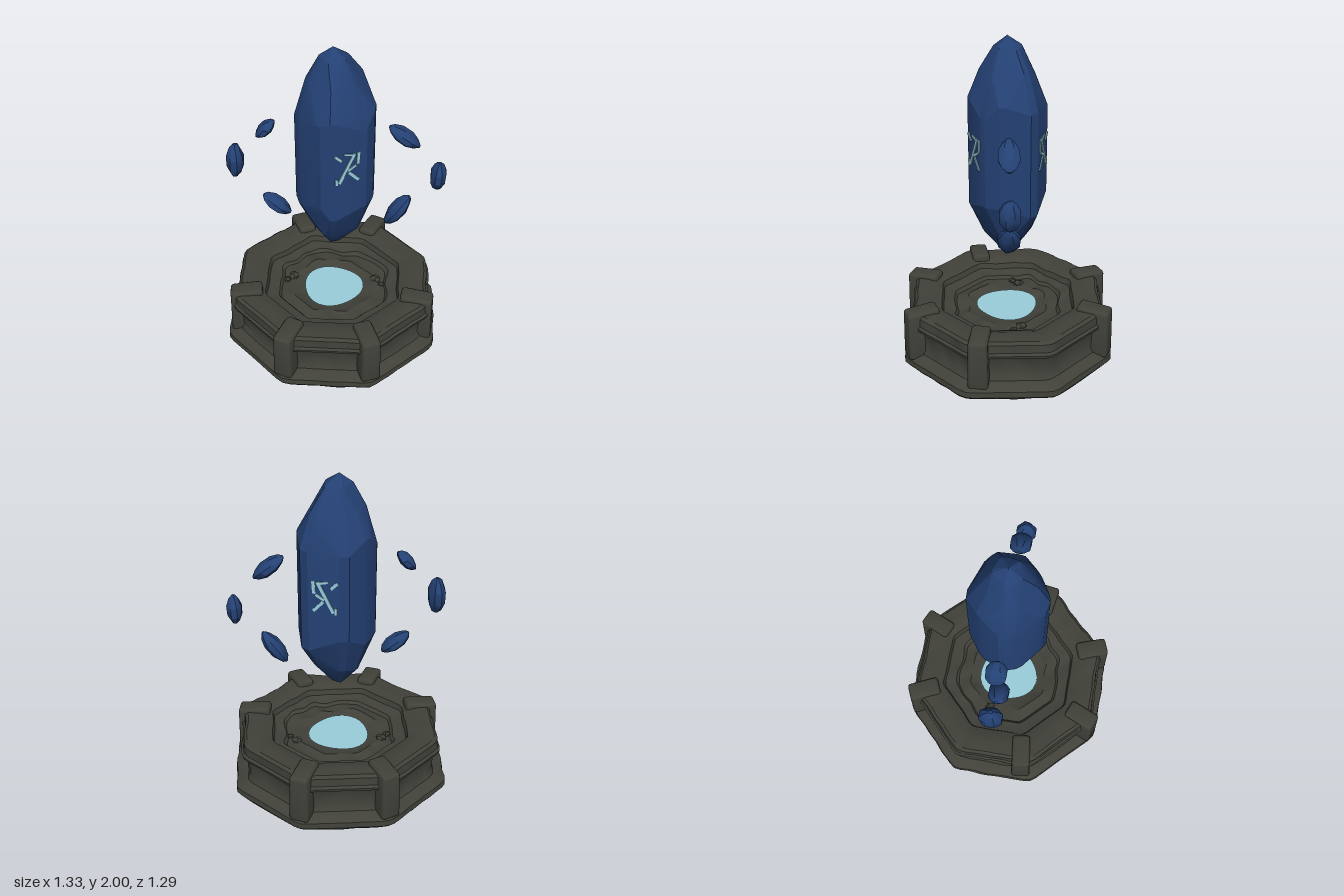
import * as THREE from 'three';
import { toCreasedNormals } from 'three/addons/utils/BufferGeometryUtils.js';
import { RoundedBoxGeometry } from 'three/addons/geometries/RoundedBoxGeometry.js';
import { ConvexGeometry } from 'three/addons/geometries/ConvexGeometry.js';

const stone = new THREE.MeshStandardMaterial({ color: 0x41413a });
stone.name = 'dark stone';
const blue = new THREE.MeshStandardMaterial({ color: 0x244174 });
blue.name = 'blue crystal';
const glow = new THREE.MeshStandardMaterial({ color: 0x99cedb });
glow.name = 'pale glow';

function add(parent, name, geometry, material) {
  const mesh = new THREE.Mesh(geometry, material);
  mesh.name = name;
  parent.add(mesh);
  return mesh;
}

// Smooth, repeatable weathering value from a position
const wear = (x, y, z) =>
  (Math.sin(x * 17 + y * 9 + 1) + Math.sin(z * 19 - y * 13 + 2) + Math.sin((x - z) * 31 + y * 21)) / 3;

// Moves every vertex by a rule, then sharpens the strong edges
function reshape(geometry, rule, crease = 0.5) {
  const p = geometry.attributes.position;
  const v = new THREE.Vector3();
  for (let i = 0; i < p.count; i++) {
    rule(v.fromBufferAttribute(p, i));
    p.setXYZ(i, v.x, v.y, v.z);
  }
  return toCreasedNormals(geometry, crease);
}

// Eight-sided basin: plinth, recessed wall, rim and stepped floor in one profile
function basinGeometry() {
  const profile = [
    [0, 0], [0.625, 0], [0.64, 0.02], [0.637, 0.055], [0.612, 0.075], [0.57, 0.088],
    [0.556, 0.12], [0.555, 0.17], [0.557, 0.22], [0.567, 0.245], [0.592, 0.255], [0.595, 0.272],
    [0.582, 0.285], [0.578, 0.335], [0.56, 0.35], [0.5, 0.352], [0.455, 0.348], [0.41, 0.33],
    [0.4, 0.295], [0.37, 0.287], [0.335, 0.285], [0.32, 0.265], [0.27, 0.262], [0.24, 0.268],
    [0.19, 0.25], [0, 0.25],
  ].map(([r, y]) => new THREE.Vector2(r, y));
  return reshape(new THREE.LatheGeometry(profile, 96), (v) => {
    const side = Math.PI / 4;
    const angle = Math.atan2(v.x, v.z) + Math.PI * 2 + side / 2;
    const radius = Math.hypot(v.x, v.z);
    const octagon = Math.min(1.07, 1 / Math.cos((angle % side) - side / 2));
    const inner = radius < 0.38 && v.y > 0.2;
    const n = wear(v.x, v.y, v.z);
    const k = octagon * (1 + n * (inner ? 0.05 : 0.012));
    v.x *= k * 1.03;
    v.z *= k;
    if (v.y > 0.01 && radius > 0.22) v.y += n * (inner ? 0.012 : 0.005);
  });
}

// Pillar that narrows a little towards its top
function pillarGeometry() {
  return reshape(new RoundedBoxGeometry(0.12, 0.325, 0.205, 2, 0.022), (v) => {
    const t = v.y / 0.325 + 0.5;
    v.x *= 1.03 - 0.08 * t;
    v.z *= 1.02 - 0.04 * t;
    if (v.y > 0.1 && v.z > 0.06) v.y -= 0.012;
  }, 0.4);
}

// Plan outline of the tall crystal, as x and z
const outline = [
  [-0.226, 0], [-0.16, -0.138], [-0.025, -0.246], [0.227, -0.157], [0.247, 0.036],
  [0.193, 0.146], [0.01, 0.233], [-0.07, 0.213], [-0.192, 0.09],
];

// The same outline with each corner cut, for softer edges
const softOutline = outline.flatMap(([x, z], i) => [8, 1].map((step) => {
  const [nx, nz] = outline[(i + step) % 9];
  return [x + (nx - x) * 0.15, z + (nz - z) * 0.15];
}));

function crystalGeometry() {
  const points = [new THREE.Vector3(0, 2, 0), new THREE.Vector3(0.01, 0.652, 0)];
  const rings = [[0.2, 0.67, 0.004], [0.64, 0.8, 0.025], [1, 1.01, 0.045],
    [1, 1.61, 0.045], [0.7, 1.79, 0.025], [0.36, 1.935, 0.01]];
  rings.forEach(([scale, y, uneven], j) => softOutline.forEach(([x, z], i) => {
    const lift = uneven * Math.sin(Math.floor(i / 2) * 2.4 + j * 1.7);
    points.push(new THREE.Vector3(x * scale, y + lift, z * scale));
  }));
  return toCreasedNormals(new ConvexGeometry(points), 0.3);
}

// Small pointed stone: half length, half width and half depth
function shardGeometry(length, width, depth, seed) {
  const points = [];
  for (const [y, scale] of [[-1, 0.18], [-0.8, 0.58], [-0.35, 0.97], [0.3, 1], [0.75, 0.64], [1, 0.18]]) {
    for (let i = 0; i < 8; i++) {
      const a = ((i + 0.5) * Math.PI) / 4;
      const lift = Math.abs(y) < 0.9 ? 0.07 * Math.sin(i * 2.3 + seed) : 0;
      points.push(new THREE.Vector3(Math.cos(a) * width * scale * 1.06,
        length * (y + lift), Math.sin(a) * depth * 1.06 * scale));
    }
  }
  return toCreasedNormals(new ConvexGeometry(points), 0.45);
}

// Abstract mark of broken strokes: start and end of each, then width
function engraving(mirror) {
  const mark = new THREE.Group();
  mark.name = 'glowingMark';
  const strokes = [
    [0.035, 0.095, -0.06, -0.09, 0.02], [-0.085, 0.1, -0.045, 0.06, 0.018],
    [-0.03, 0.1, 0.03, 0.085, 0.014], [0.06, 0.1, 0.055, 0.02, 0.02],
    [0.045, 0.015, -0.005, -0.015, 0.016], [0.0, -0.025, 0.06, -0.09, 0.018],
    [-0.075, -0.06, -0.075, -0.1, 0.016],
  ];
  for (const [x1, y1, x2, y2, w] of strokes) {
    const dx = (x2 - x1) * mirror, dy = y2 - y1;
    const bar = add(mark, 'markStroke', new THREE.BoxGeometry(w, Math.hypot(dx, dy), 0.008), glow);
    bar.position.set(((x1 + x2) / 2) * mirror, (y1 + y2) / 2, 0);
    bar.rotation.z = Math.atan2(-dx, dy);
  }
  return mark;
}

export function createModel() {
  const model = new THREE.Group();
  model.name = 'floatingCrystalShrine';

  // Stone base
  const base = new THREE.Group();
  base.name = 'stoneBase';
  model.add(base);
  add(base, 'basin', basinGeometry(), stone);

  // Pillars on six of the eight corners: x, z and turn, mirrored
  const pillar = pillarGeometry();
  for (const [x, z, degrees] of [[0.235, 0.525, 22], [0.535, 0.175, 82], [0.235, -0.525, 156]]) {
    for (const side of [1, -1]) {
      const post = add(base, 'pillar', pillar, stone);
      post.position.set(x * side, 0.22, z);
      post.rotation.y = THREE.MathUtils.degToRad(degrees) * side;
    }
  }

  // Loose stones on the basin floor
  for (const [x, z, size] of [[-0.26, -0.08, 0.035], [0.27, -0.08, 0.035], [-0.3, -0.04, 0.025],
    [0.31, -0.03, 0.022]]) {
    const rock = add(base, 'looseStone', new THREE.DodecahedronGeometry(size), stone);
    rock.position.set(x, 0.265, z);
    rock.scale.y = 0.6;
    rock.rotation.y = x * 20;
  }

  // Glowing pool in the middle of the basin
  const pool = add(base, 'pool', reshape(new THREE.CircleGeometry(0.188, 32), (v) => {
    v.multiplyScalar(1 + 0.05 * Math.sin(Math.atan2(v.y, v.x) * 3 + 1));
  }), glow);
  pool.rotation.x = -Math.PI / 2;
  pool.position.y = 0.262;

  // Tall crystal with a mark on one front and one rear facet
  add(model, 'crystal', crystalGeometry(), blue);
  for (const [i, j, mirror] of [[5, 6, 1], [2, 3, -1]]) {
    const [ax, az] = outline[i], [bx, bz] = outline[j];
    const normal = new THREE.Vector2(az - bz, bx - ax).normalize();
    const x = (ax + bx) / 2, z = (az + bz) / 2;
    if (normal.x * x + normal.y * z < 0) normal.negate();
    const mark = engraving(mirror);
    mark.position.set(x + normal.x * 0.002, 1.33, z + normal.y * 0.002);
    mark.rotation.y = Math.atan2(normal.x, normal.y);
    model.add(mark);
  }

  // Ring of floating shards: both tips, half width, half depth
  const shards = [
    [-0.445, 1.405, -0.34, 1.51, 0.034, 0.06], [-0.58, 1.115, -0.58, 1.34, 0.05, 0.068],
    [-0.42, 0.98, -0.26, 0.855, 0.042, 0.062], [0.325, 1.5, 0.5, 1.37, 0.042, 0.062],
    [0.615, 1.075, 0.625, 1.26, 0.045, 0.06], [0.32, 0.805, 0.46, 1.005, 0.045, 0.066],
  ];
  shards.forEach(([x1, y1, x2, y2, width, depth], i) => {
    const dx = x2 - x1, dy = y2 - y1;
    const shard = add(model, 'shard', shardGeometry(Math.hypot(dx, dy) / 2, width, depth, i), blue);
    shard.position.set((x1 + x2) / 2, (y1 + y2) / 2, 0);
    shard.rotation.z = Math.atan2(-dx, dy);
  });

  return model;
}
